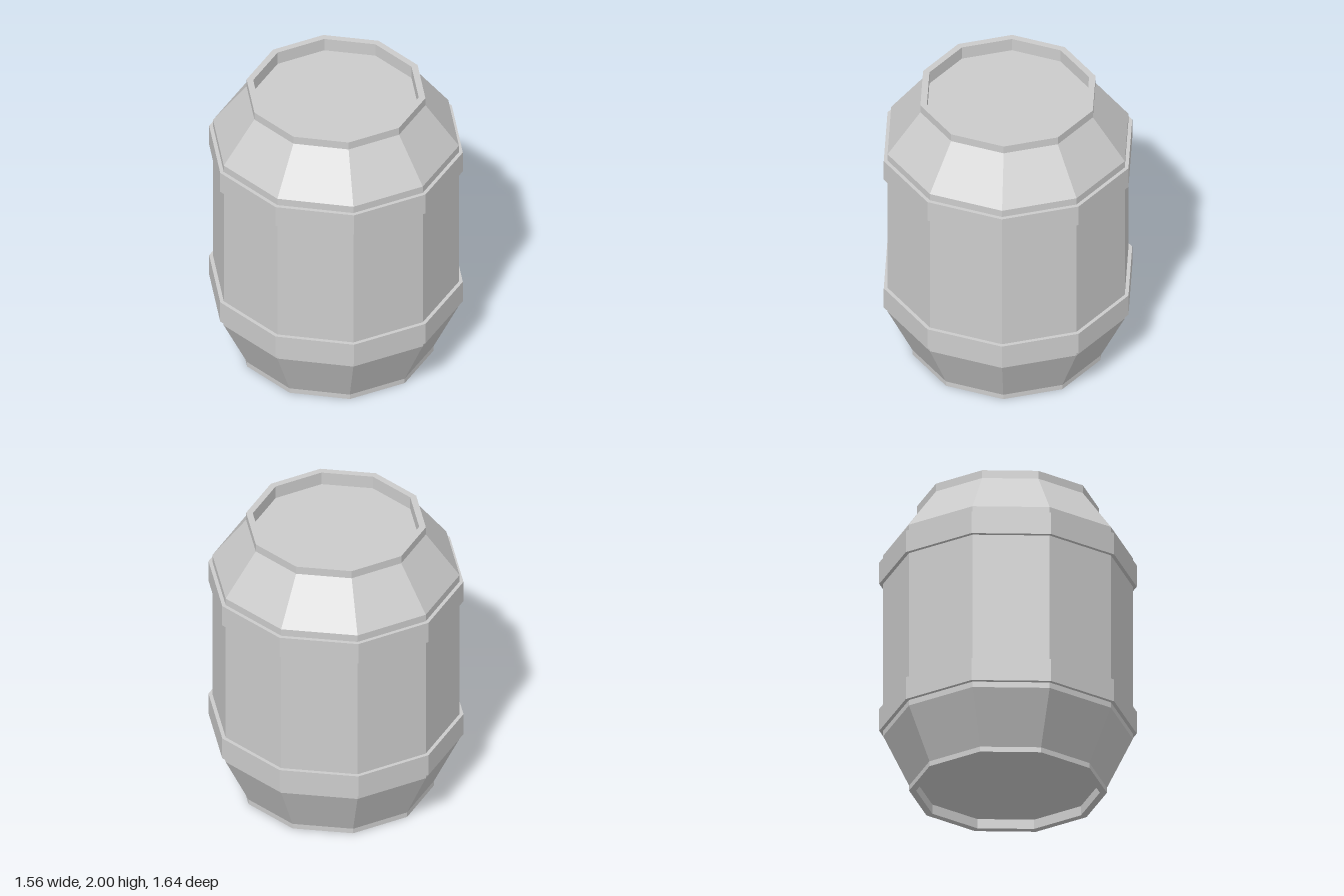
import * as THREE from 'three';

const SIDES = 10;

// Faceted ring or solid from a [radius, height] profile, listed bottom to top on the outside
function turned(name, profile) {
  const points = profile.map(([r, y]) => new THREE.Vector2(r, y));
  const material = new THREE.MeshStandardMaterial({ color: 0xcccccc, flatShading: true });
  const mesh = new THREE.Mesh(new THREE.LatheGeometry(points, SIDES), material);
  mesh.name = name;
  return mesh;
}

export function createModel() {
  const group = new THREE.Group();
  group.name = 'barrel';

  // Body with tapered ends, raised rims and recessed lids
  group.add(turned('body', [
    [0, 0.065], [0.585, 0.065], [0.585, 0],
    [0.63, 0], [0.63, 0.035], [0.795, 0.38],
    [0.795, 1.65], [0.578, 1.945], [0.578, 2],
    [0.535, 2], [0.535, 1.91], [0, 1.91],
  ]));

  // Two hoops around the straight part
  for (const [name, low, high] of [['lowerHoop', 0.418, 0.572], ['upperHoop', 1.45, 1.6]]) {
    group.add(turned(name, [[0.79, low], [0.82, low], [0.82, high], [0.79, high]]));
  }
  return group;
}
